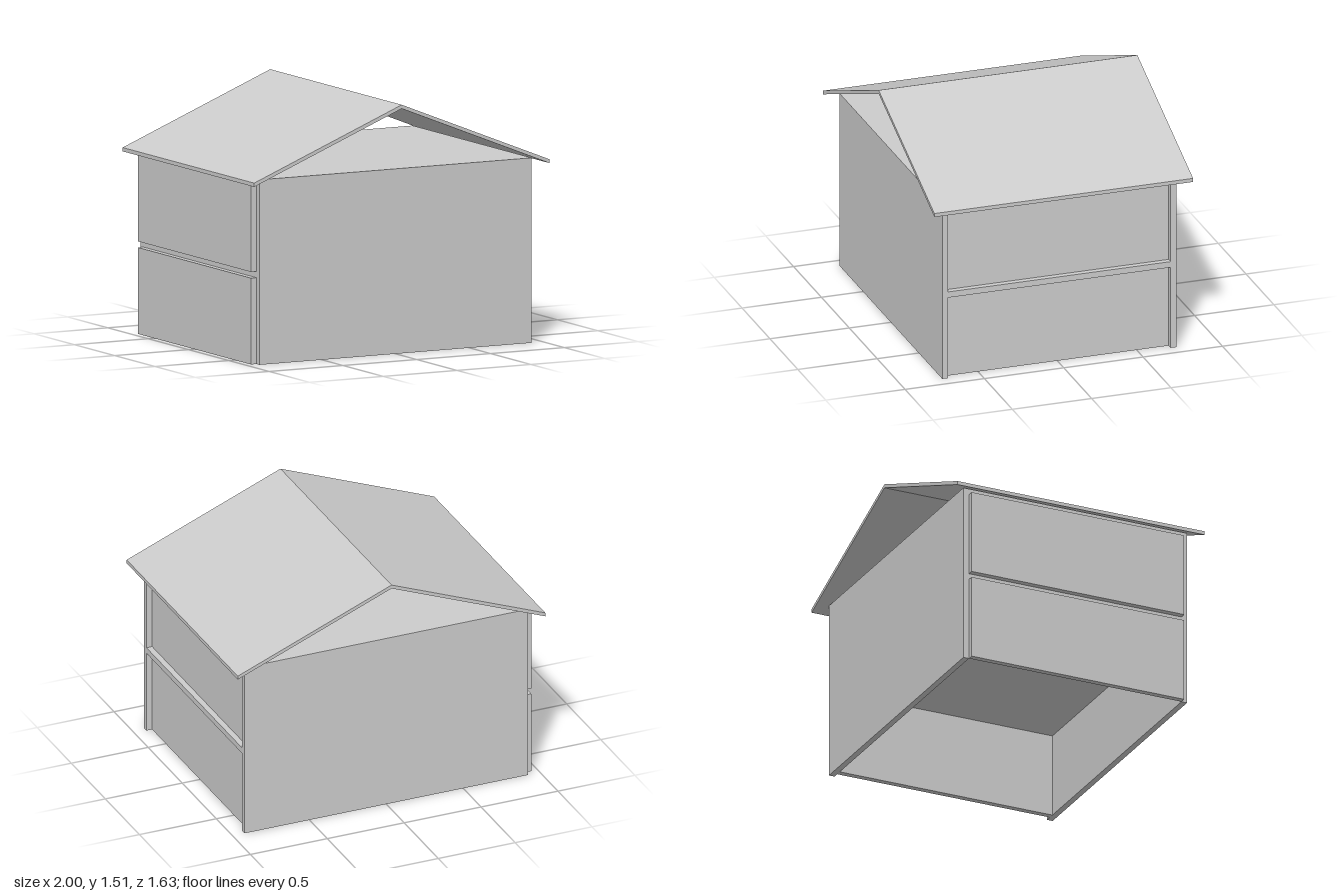
import * as THREE from 'three';

export function createModel() {
  const house = new THREE.Group();
  house.name = 'house';
  const plaster = new THREE.MeshStandardMaterial({ color: 0xcccccc });
  plaster.name = 'pale grey';

  const T = 0.037;              // thickness of walls and slabs
  const W = 0.922, D = 0.738;   // half width and half depth of the body
  const H = 1.112;              // wall height
  const storey = H / 2;
  const inner = D - T;

  // Box given by its lower and upper corners
  function block(name, [x0, y0, z0], [x1, y1, z1]) {
    const mesh = new THREE.Mesh(new THREE.BoxGeometry(x1 - x0, y1 - y0, z1 - z0), plaster);
    mesh.position.set((x0 + x1) / 2, (y0 + y1) / 2, (z0 + z1) / 2);
    mesh.name = name;
    house.add(mesh);
  }

  // Full-height front and back walls
  block('frontWall', [-W, 0, inner], [W, H, D]);
  block('backWall', [-W, 0, -D], [W, H, -inner]);

  // Each storey: a proud panel on the right, a recessed one on the left, a slab on top
  ['lower', 'upper'].forEach((level, i) => {
    const y0 = i * storey, y1 = y0 + storey - T;
    block(level + 'RightPanel', [-W - T, y0, -inner], [-W, y1, inner]);
    block(level + 'LeftPanel', [W - 2 * T, y0, -inner], [W - T, y1, inner]);
    block(level + 'Ceiling', [-W, y1, -inner], [W, y0 + storey, inner]);
  });

  // Thin gabled roof, open at both ends
  const section = new THREE.Shape([
    [-1, 1.085], [0, 1.484], [1, 1.085], [1, 1.108], [0, 1.507], [-1, 1.108],
  ].map(([x, y]) => new THREE.Vector2(x, y)));
  const depth = 1.63;
  const roof = new THREE.Mesh(
    new THREE.ExtrudeGeometry(section, { depth, bevelEnabled: false }), plaster);
  roof.position.z = -depth / 2;
  roof.name = 'roof';
  house.add(roof);

  return house;
}
